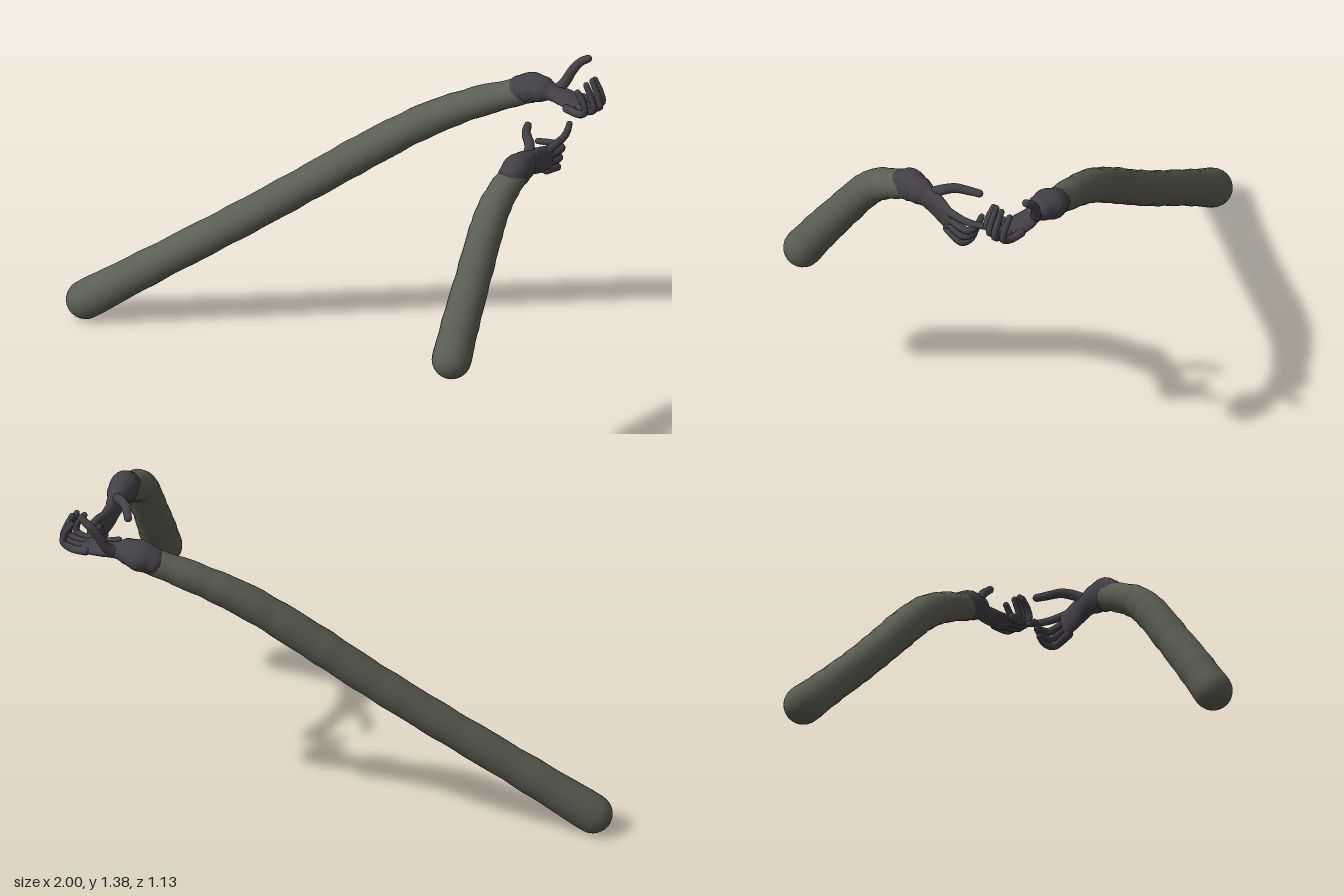
import * as THREE from 'three';

const sleeveMat = new THREE.MeshStandardMaterial({ color: 0x5b5e52 });
sleeveMat.name = 'olive sleeve';
const gloveMat = new THREE.MeshStandardMaterial({ color: 0x434147 });
gloveMat.name = 'charcoal glove';

// Sweeps an oval section along a smooth path with rounded ends.
// Stations are [x, y, z, halfWidth, halfThickness]; side is the width direction.
function sweep(name, mat, stations, side, { steps = 24, sides = 16, lumps = 0 } = {}) {
  const curve = new THREE.CatmullRomCurve3(stations.map(s => new THREE.Vector3(s[0], s[1], s[2])));
  const ref = new THREE.Vector3(...side);
  const rings = [];
  for (let i = 0; i <= steps; i++) {
    const t = i / steps, f = t * (stations.length - 1);
    const k = Math.min(Math.floor(f), stations.length - 2);
    const m = THREE.MathUtils.smoothstep(f - k, 0, 1);
    const size = c => THREE.MathUtils.lerp(
      stations[k][c] ?? stations[k][3], stations[k + 1][c] ?? stations[k + 1][3], m);
    const bump = 1 + lumps * (Math.sin(i * 1.3) + 0.6 * Math.sin(i * 2.1 + 1));
    rings.push({ p: curve.getPoint(t), T: curve.getTangent(t), a: size(3) * bump, b: size(4) * bump });
  }
  // dome a ring outward to close an end
  const dome = (r, dir) => Array.from({ length: 6 }, (_, i) => {
    const ang = (i / 6) * Math.PI / 2, s = Math.sin(ang);
    const p = r.p.clone().addScaledVector(r.T, dir * Math.cos(ang) * Math.min(r.a, r.b));
    return { p, T: r.T, a: r.a * s, b: r.b * s };
  });
  const all = [...dome(rings[0], -1), ...rings, ...dome(rings[steps], 1).reverse()];
  const pos = [], idx = [];
  all.forEach(({ p, T, a, b }, i) => {
    const S = ref.clone().addScaledVector(T, -ref.dot(T)).normalize();
    const U = new THREE.Vector3().crossVectors(T, S);
    for (let j = 0; j < sides; j++) {
      const th = (j / sides) * Math.PI * 2;
      const v = p.clone().addScaledVector(S, a * Math.cos(th)).addScaledVector(U, b * Math.sin(th));
      pos.push(v.x, v.y, v.z);
      if (i === all.length - 1) continue;
      const n = (j + 1) % sides, q = i * sides;
      idx.push(q + j, q + n, q + sides + j, q + n, q + sides + n, q + sides + j);
    }
  });
  const g = new THREE.BufferGeometry();
  g.setAttribute('position', new THREE.Float32BufferAttribute(pos, 3));
  g.setIndex(idx);
  g.computeVertexNormals();
  const mesh = new THREE.Mesh(g, mat);
  mesh.name = name;
  return mesh;
}

// Slim digit tapering through the given points
function digit(name, pts, r, side) {
  const st = pts.map((p, i) => [...p, r * (1 - 0.3 * i / (pts.length - 1))]);
  return sweep(name, gloveMat, st, side, { steps: 14, sides: 10 });
}

const fingerNames = ['indexFinger', 'middleFinger', 'ringFinger', 'littleFinger'];

function longArm() {
  const arm = new THREE.Group();
  arm.name = 'rightArm';
  arm.add(sweep('rightSleeve', sleeveMat, [
    [-0.93, 0.077, 0.285, 0.073], [-0.66, 0.295, 0.15, 0.067], [-0.4, 0.505, 0.015, 0.066],
    [-0.18, 0.69, -0.1, 0.066], [0, 0.845, -0.19, 0.067], [0.2, 1.005, -0.29, 0.064],
    [0.37, 1.11, -0.375, 0.058], [0.55, 1.195, -0.455, 0.05],
  ], [0, 0, 1], { steps: 56, sides: 24, lumps: 0.018 }));
  // flared cuff, narrow wrist and flat upturned palm
  arm.add(sweep('rightGlove', gloveMat, [
    [0.525, 1.192, -0.45, 0.056, 0.051], [0.565, 1.208, -0.462, 0.068, 0.056],
    [0.615, 1.217, -0.468, 0.055, 0.047], [0.66, 1.215, -0.475, 0.036, 0.029],
    [0.71, 1.212, -0.48, 0.048, 0.022], [0.775, 1.208, -0.478, 0.055, 0.018],
  ], [0, 0, 1], { steps: 32, sides: 20 }));
  // fingers curl up
  fingerNames.forEach((name, i) => {
    const z = -0.522 + i * 0.032, top = [1.31, 1.325, 1.322, 1.3][i], out = [0.855, 0.868, 0.864, 0.848][i];
    arm.add(digit(name, [
      [0.76, 1.21, z], [0.815, 1.207, z], [out - 0.005, 1.225, z], [out - 0.012, 1.265, z], [out - 0.038, top, z],
    ], 0.0165, [0, 0, 1]));
  });
  arm.add(digit('thumb', [
    [0.655, 1.215, -0.49], [0.68, 1.245, -0.515], [0.7, 1.295, -0.535], [0.725, 1.335, -0.55], [0.763, 1.366, -0.552],
  ], 0.021, [0, 0, 1]));
  return arm;
}

function shortArm() {
  const arm = new THREE.Group();
  arm.name = 'leftArm';
  arm.add(sweep('leftSleeve', sleeveMat, [
    [0.925, 0.645, 0.493, 0.073], [0.908, 0.77, 0.41, 0.07], [0.89, 0.91, 0.31, 0.066],
    [0.872, 1.04, 0.215, 0.064], [0.86, 1.1, 0.155, 0.061], [0.847, 1.145, 0.07, 0.056], [0.844, 1.18, -0.01, 0.05],
  ], [1, 0, 0], { steps: 42, sides: 24, lumps: 0.015 }));
  // flared cuff and inward-facing palm
  arm.add(sweep('leftGlove', gloveMat, [
    [0.844, 1.172, 0.025, 0.056, 0.05], [0.844, 1.184, -0.01, 0.066, 0.055],
    [0.841, 1.182, -0.055, 0.056, 0.048], [0.835, 1.172, -0.1, 0.046, 0.034],
    [0.832, 1.152, -0.15, 0.053, 0.024], [0.836, 1.13, -0.215, 0.054, 0.018],
  ], [0, 1, 0], { steps: 32, sides: 20 }));
  // straight pointing finger
  arm.add(digit('indexFinger', [
    [0.835, 1.168, -0.19], [0.842, 1.176, -0.25], [0.838, 1.178, -0.305], [0.822, 1.179, -0.35], [0.803, 1.181, -0.385],
  ], 0.0165, [0, 1, 0]));
  // remaining fingers curl inward
  fingerNames.slice(1).forEach((name, i) => {
    const y0 = 1.148 - i * 0.031, y1 = 1.13 - i * 0.035, z = -0.31 + i * 0.014;
    arm.add(digit(name, [
      [0.836, y0, -0.2], [0.841, (y0 + y1) / 2, -0.255], [0.83, y1, z + 0.007], [0.795, y1, z], [0.737, y1 + 0.004, z + 0.03],
    ], 0.0165, [0, 1, 0]));
  });
  arm.add(digit('thumb', [
    [0.83, 1.19, -0.1], [0.805, 1.215, -0.14], [0.77, 1.222, -0.17], [0.74, 1.215, -0.205], [0.717, 1.212, -0.245],
  ], 0.021, [0, 1, 0]));
  return arm;
}

export function createModel() {
  const model = new THREE.Group();
  model.name = 'pairOfArms';
  model.add(longArm(), shortArm());
  return model;
}
